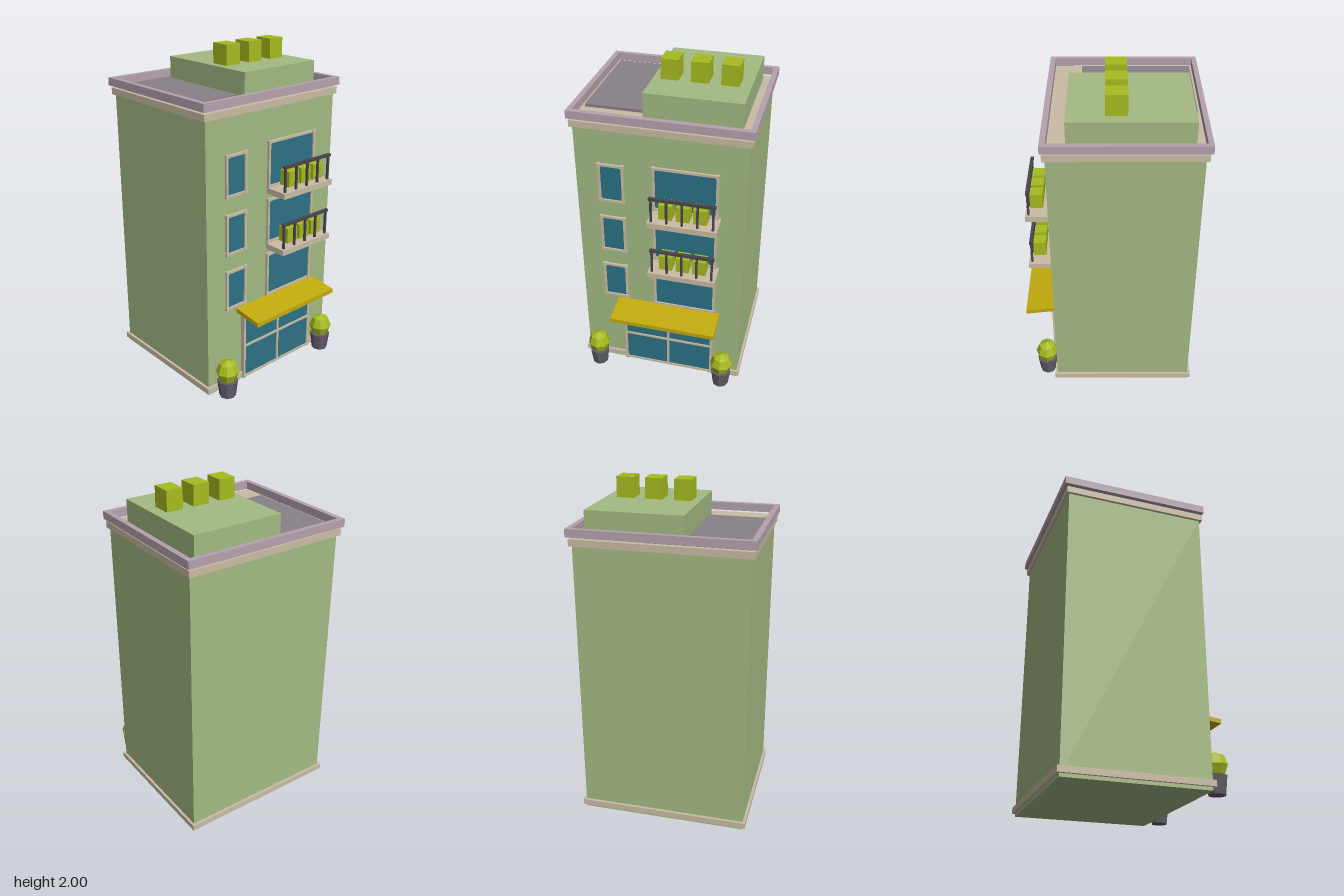
import * as THREE from 'three';

const mat = (name, color, flat = false) => {
  const m = new THREE.MeshStandardMaterial({ color, flatShading: flat });
  m.name = name;
  return m;
};

export function createModel() {
  const wall = mat('wall green', 0xa4ba83);
  const trim = mat('trim beige', 0xcabda5);
  const coping = mat('coping mauve', 0xb5a3ae);
  const roofGrey = mat('roof grey', 0x8a8188);
  const glass = mat('glass teal', 0x2c7286);
  const yellow = mat('awning yellow', 0xc2ab0d);
  const leaf = mat('leaf green', 0xa7bb20, true);
  const potGrey = mat('pot grey', 0x625d68, true);
  const railGrey = mat('rail dark grey', 0x4a4550);

  const model = new THREE.Group();
  model.name = 'building';

  // Box given by its lower and upper limits on each axis
  const box = (name, material, [x0, x1], [y0, y1], [z0, z1], parent = model) => {
    const m = new THREE.Mesh(new THREE.BoxGeometry(x1 - x0, y1 - y0, z1 - z0), material);
    m.position.set((x0 + x1) / 2, (y0 + y1) / 2, (z0 + z1) / 2);
    m.name = name;
    parent.add(m);
    return m;
  };
  const group = (name) => {
    const g = new THREE.Group();
    g.name = name;
    model.add(g);
    return g;
  };
  const WALL_Z = 0.342;

  // Main block with plinth and cornice
  box('body', wall, [-0.497, 0.495], [0, 1.70], [-0.495, WALL_Z]);
  box('plinth', trim, [-0.513, 0.51], [0.02, 0.055], [-0.512, 0.357]);
  box('cornice', trim, [-0.513, 0.51], [1.69, 1.73], [-0.512, 0.357]);

  // Parapet ring, raised a little above the cornice
  const rect = (T, x0, x1, z0, z1) => {
    const s = new T();
    s.moveTo(x0, -z1);
    s.lineTo(x1, -z1);
    s.lineTo(x1, -z0);
    s.lineTo(x0, -z0);
    s.closePath();
    return s;
  };
  const ring = rect(THREE.Shape, -0.523, 0.521, -0.526, 0.366);
  ring.holes.push(rect(THREE.Path, -0.492, 0.49, -0.497, 0.334));
  const parapet = new THREE.Mesh(
    new THREE.ExtrudeGeometry(ring, { depth: 0.047, bevelEnabled: false }), coping);
  parapet.rotation.x = -Math.PI / 2;
  parapet.position.y = 1.743;
  parapet.name = 'parapet';
  model.add(parapet);

  // Roof: grey deck, raised garden block and cube shrubs
  box('roofDeck', roofGrey, [-0.481, 0.075], [1.725, 1.747], [-0.485, 0.172]);
  box('roofBlock', wall, [-0.123, 0.435], [1.725, 1.88], [-0.447, 0.235]);
  for (const x of [-0.025, 0.147, 0.318]) {
    box('roofShrub', leaf, [x - 0.051, x + 0.051], [1.88, 2], [-0.09, 0.029]);
  }

  // Frame of four bars with slightly proud corner blocks, around a glass plate
  const framedWindow = (name, [x0, x1], [y0, y1], glassZ, frontZ) => {
    const g = group(name);
    const t = 0.014;
    box('glass', glass, [x0 + t / 2, x1 - t / 2], [y0 + t / 2, y1 - t / 2], [glassZ - 0.006, glassZ], g);
    const z = [WALL_Z - 0.004, frontZ];
    for (const x of [x0, x1 - t]) box('frameSide', trim, [x, x + t], [y0, y1], z, g);
    for (const y of [y0, y1 - t]) box('frameEdge', trim, [x0, x1], [y, y + t], z, g);
    for (const x of [x0 + t / 2, x1 - t / 2]) {
      for (const y of [y0 + t / 2, y1 - t / 2]) {
        box('frameCorner', trim, [x - 0.01, x + 0.01], [y - 0.01, y + 0.01], [z[0], frontZ + 0.003], g);
      }
    }
    return g;
  };

  // Three storeys of windows
  for (let i = 0; i < 3; i++) {
    const y = 0.35 * i;
    framedWindow('smallWindow', [-0.362, -0.21], [0.531 + y, 0.777 + y], 0.348, 0.357);
    framedWindow('largeWindow', [-0.042, 0.337], [0.518 + y, 0.797 + y], 0.348, 0.357);
  }

  // Entrance with crossing bars
  const door = framedWindow('entrance', [-0.238, 0.334], [0.022, 0.455], 0.363, 0.37);
  box('doorPost', trim, [0.041, 0.055], [0.022, 0.455], [0.345, 0.37], door);
  box('doorRail', trim, [-0.238, 0.334], [0.236, 0.25], [0.345, 0.37], door);

  // Sloping awning: a box sheared downwards towards the front
  const awning = box('awning', yellow, [-0.277, 0.37], [0.474, 0.501], [0.335, 0.528]);
  const p = awning.geometry.attributes.position;
  for (let i = 0; i < p.count; i++) p.setY(i, p.getY(i) - 0.125 * p.getZ(i));
  awning.geometry.computeVertexNormals();

  // Balconies with railing and cube shrubs
  for (const y of [0.83, 1.182]) {
    const g = group('balcony');
    box('slab', trim, [-0.043, 0.355], [y, y + 0.034], [0.335, 0.488], g);
    box('handrail', railGrey, [-0.032, 0.348], [y + 0.176, y + 0.192], [0.458, 0.477], g);
    for (let i = 0; i < 5; i++) {
      const x = -0.02 + i * 0.0885;
      box('railPost', railGrey, [x - 0.006, x + 0.006], [y + 0.034, y + 0.18], [0.462, 0.474], g);
    }
    for (const x of [0.059, 0.158, 0.257]) {
      box('balconyShrub', leaf, [x - 0.039, x + 0.039], [y + 0.053, y + 0.145], [0.387, 0.46], g);
    }
  }

  // Potted bushes either side of the entrance
  for (const x of [-0.406, 0.404]) {
    const g = group('pottedBush');
    g.position.set(x, 0, 0.41);
    const pot = new THREE.Mesh(new THREE.CylinderGeometry(0.063, 0.05, 0.107, 8), potGrey);
    pot.position.y = 0.0535;
    pot.name = 'pot';
    const bush = new THREE.Mesh(new THREE.SphereGeometry(0.07, 8, 4), leaf);
    bush.scale.y = 1.08;
    bush.position.y = 0.165;
    bush.name = 'bush';
    g.add(pot, bush);
  }

  return model;
}
